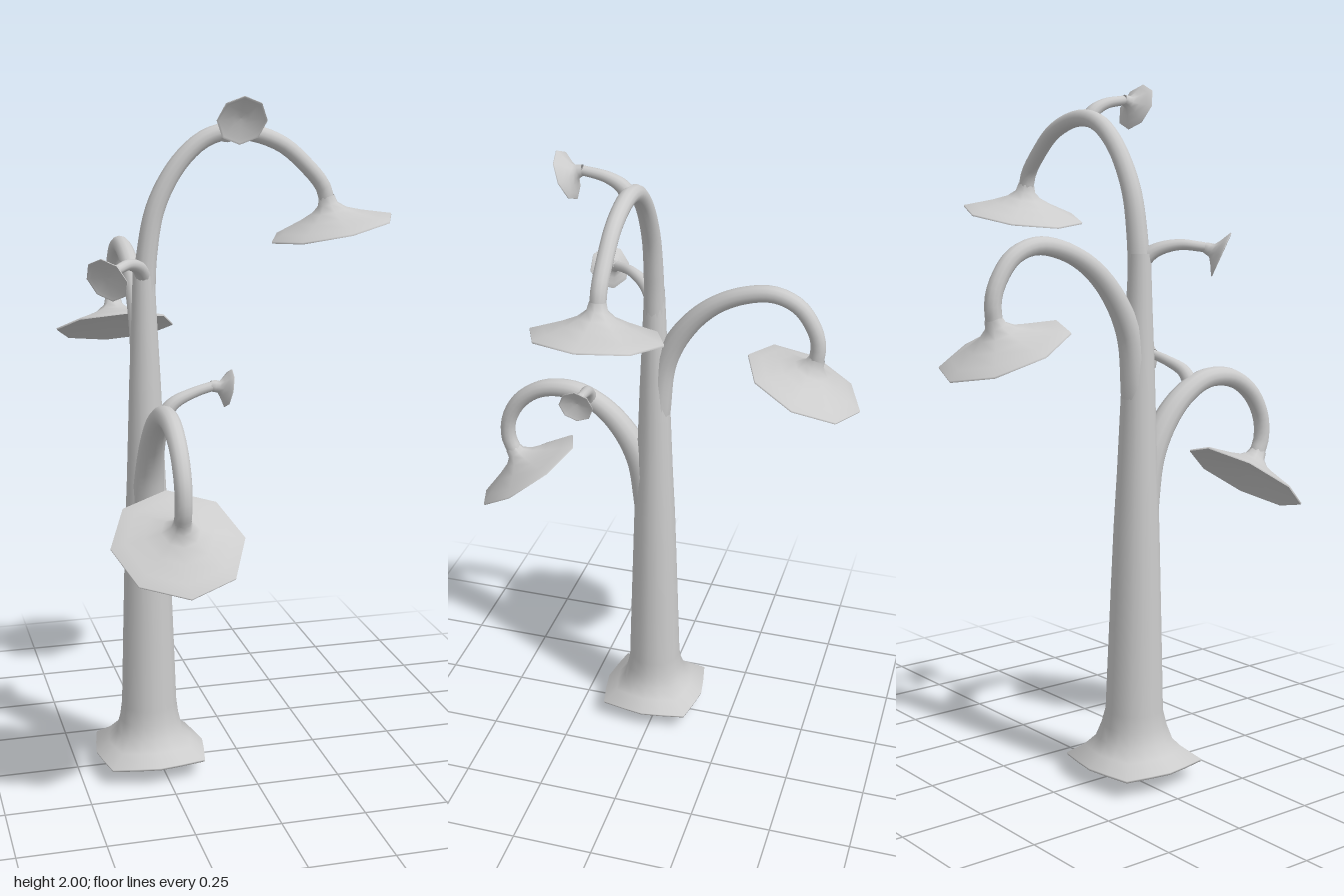
import * as THREE from 'three';

const V = (x, y, z) => new THREE.Vector3(x, y, z);
const material = new THREE.MeshStandardMaterial({ color: 0xcccccc, side: THREE.DoubleSide });
const profile = (pts) => pts.map(([r, y]) => new THREE.Vector2(r, y));

function add(parent, geometry, name) {
  const mesh = new THREE.Mesh(geometry, material);
  mesh.name = name;
  parent.add(mesh);
}

// Tube that narrows from r0 to r1, fast at first and then evenly
function taperedTube(points, r0, r1, steps = 32) {
  const curve = new THREE.CatmullRomCurve3(points.map((p) => V(...p)));
  const sides = 12;
  const geo = new THREE.TubeGeometry(curve, steps, 1, sides);
  const pos = geo.attributes.position;
  const v = V(0, 0, 0);
  for (let i = 0; i <= steps; i++) {
    const t = i / steps;
    const c = curve.getPointAt(t);
    const r = r1 + (r0 - r1) * Math.pow(1 - t, 2);
    for (let j = 0; j <= sides; j++) {
      const k = i * (sides + 1) + j;
      v.fromBufferAttribute(pos, k).sub(c).multiplyScalar(r).add(c);
      pos.setXYZ(k, v.x, v.y, v.z);
    }
  }
  return geo;
}

// Eight-sided flared shade: hollow underside, thin rim, neck along the axis
function shade(center, axis, radius, neck, height, name) {
  const g = new THREE.Group();
  g.name = name;
  const R = radius, H = height;
  add(g, new THREE.LatheGeometry(profile([
    [0, 0.3 * H], [0.3 * R, 0.27 * H], [0.82 * R, 0.1 * H], [0.92 * R, 0], [R, 0],
  ]), 8), name + 'Underside');
  add(g, new THREE.LatheGeometry(profile([
    [R, 0], [R, 0.06 * H], [0.8 * R, 0.2 * H], [0.52 * R, 0.4 * H],
    [0.28 * R + neck * 0.1, 0.6 * H], [neck * 1.25, 0.82 * H], [neck, 1.08 * H],
  ]), 8), name + 'Top');
  g.position.set(...center);
  g.quaternion.setFromUnitVectors(V(0, 1, 0), V(...axis).normalize());
  return g;
}

// Trunk with a squarish eight-cornered foot and a slight lean
function trunkGeometry() {
  const geo = new THREE.LatheGeometry(profile([
    [0, 0], [0.08, 0.024], [0.163, 0.048], [0.165, 0.055], [0.125, 0.085], [0.1, 0.115], [0.09, 0.155],
    [0.084, 0.2], [0.076, 0.45], [0.066, 0.74], [0.058, 0.9],
    [0.046, 1.2], [0.038, 1.36], [0.031, 1.52],
  ]), 16);
  const pos = geo.attributes.position;
  const corner = [1, 1.017, 1.2, 1.017];
  for (let i = 0; i < pos.count; i++) {
    const x = pos.getX(i), y = pos.getY(i), z = pos.getZ(i);
    const k = Math.round(Math.atan2(z, x) / (Math.PI / 8)) + 16;
    const w = THREE.MathUtils.clamp((0.2 - y) / 0.14, 0, 1);
    const f = 1 + (corner[k % 4] - 1) * w;
    pos.setXYZ(i, x * f - 0.28, y, z * f + 0.02 + 0.007 * y);
  }
  return geo;
}

export function createModel() {
  const model = new THREE.Group();
  model.name = 'branchingLamp';
  add(model, trunkGeometry(), 'trunk');

  // Large arms with their shades
  const arms = [
    {
      name: 'upper', r0: 0.033, r1: 0.023, center: [0.28, 1.617, 0.03], axis: [-0.2, 0.98, 0],
      path: [[-0.28, 1.42, 0.03], [-0.27, 1.56, 0.03], [-0.24, 1.7, 0.03], [-0.17, 1.82, 0.03], [-0.09, 1.885, 0.03],
        [0, 1.9, 0.03], [0.12, 1.865, 0.03], [0.2, 1.8, 0.03], [0.25, 1.74, 0.03], [0.264, 1.69, 0.03]],
    },
    {
      name: 'back', r0: 0.043, r1: 0.023, center: [-0.28, 1.276, -0.43], axis: [0, 0.927, -0.376],
      path: [[-0.28, 1.12, 0.02], [-0.28, 1.29, -0.005], [-0.28, 1.4, -0.06], [-0.28, 1.485, -0.14],
        [-0.28, 1.535, -0.235], [-0.28, 1.55, -0.33], [-0.28, 1.52, -0.405], [-0.28, 1.45, -0.455],
        [-0.28, 1.4, -0.467], [-0.28, 1.352, -0.462]],
    },
    {
      name: 'front', r0: 0.052, r1: 0.024, center: [-0.28, 0.835, 0.45], axis: [0, 0.82, 0.57],
      path: [[-0.28, 0.78, 0.04], [-0.28, 0.94, 0.075], [-0.28, 1.04, 0.13], [-0.28, 1.11, 0.2], [-0.28, 1.15, 0.285],
        [-0.28, 1.145, 0.385], [-0.28, 1.095, 0.465], [-0.28, 1.02, 0.51], [-0.28, 0.95, 0.515], [-0.28, 0.905, 0.498]],
    },
  ];
  for (const a of arms) {
    add(model, taperedTube(a.path, a.r0, a.r1, 40), a.name + 'Arm');
    model.add(shade(a.center, a.axis, 0.185, 0.024, 0.09, a.name + 'Shade'));
  }

  // Small twigs, each ending in a little flared cup
  const twigs = [
    {
      name: 'upper', center: [-0.04, 1.935, 0.213], axis: [0, 0.4, -0.915], radius: 0.071,
      path: [[-0.04, 1.885, 0.03], [-0.04, 1.92, 0.055], [-0.04, 1.942, 0.1], [-0.04, 1.953, 0.165]],
    },
    {
      name: 'side', center: [-0.418, 1.517, 0.213], axis: [0.64, 0.4, -0.65], radius: 0.066,
      path: [[-0.275, 1.49, 0.03], [-0.3, 1.527, 0.065], [-0.34, 1.545, 0.12], [-0.385, 1.538, 0.178]],
    },
    {
      name: 'front', center: [-0.08, 1.203, 0.216], axis: [-0.97, 0.2, 0], radius: 0.054,
      path: [[-0.28, 1.12, 0.235], [-0.245, 1.17, 0.232], [-0.18, 1.198, 0.222], [-0.125, 1.212, 0.216]],
    },
  ];
  for (const t of twigs) {
    add(model, taperedTube(t.path, 0.026, 0.014, 16), t.name + 'Twig');
    model.add(shade(t.center, t.axis, t.radius, 0.014, 0.05, t.name + 'Cup'));
  }
  return model;
}
